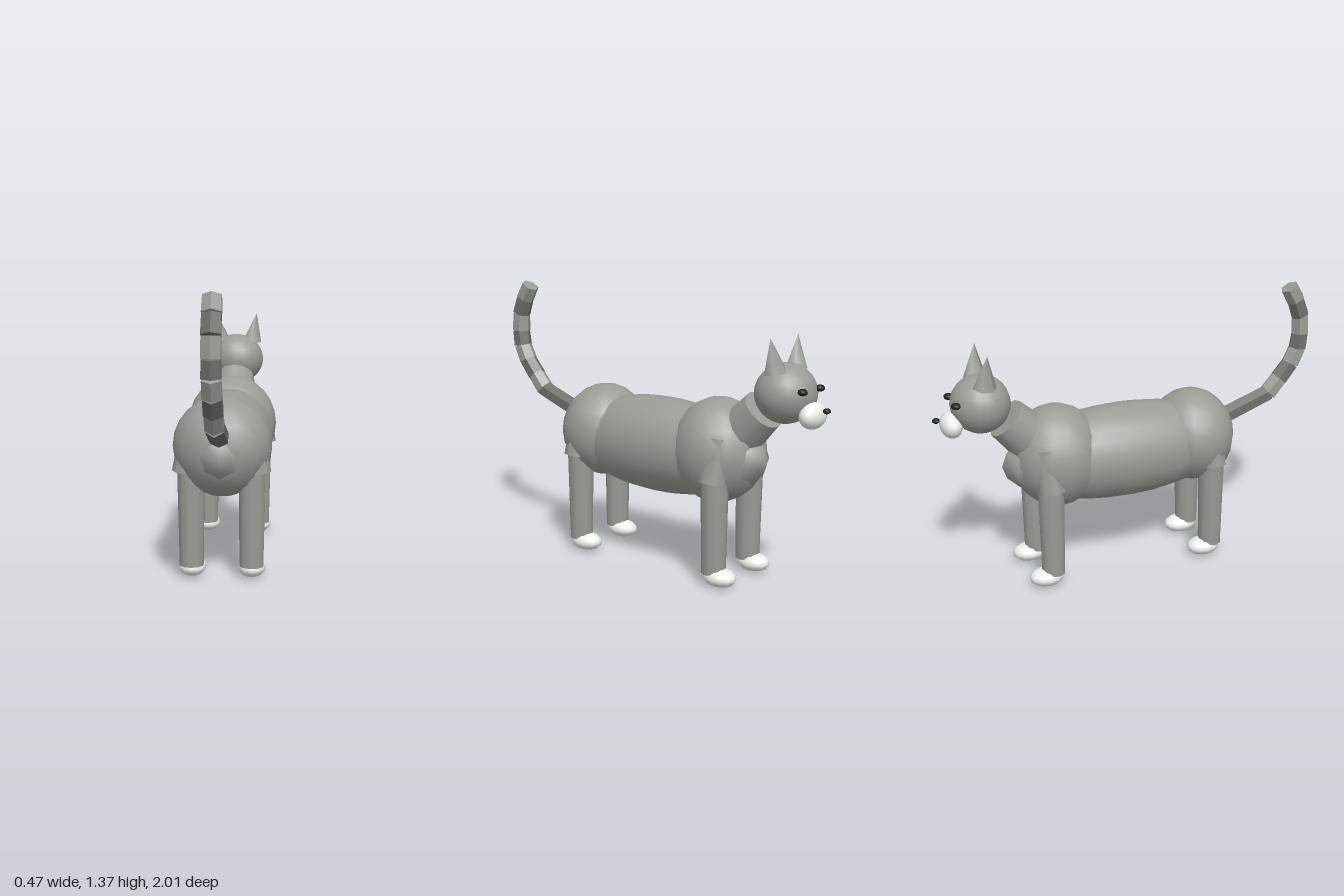
import * as THREE from 'three';

const mat = (color, flatShading = false) => new THREE.MeshStandardMaterial({ color, flatShading });
const fur = mat(0x9c9c96);
const furFlat = mat(0x9c9c96, true);
const stripe = mat(0x70706b, true);
const white = mat(0xeeeeea);
const black = mat(0x222222);

export function createModel() {
  const cat = new THREE.Group();
  cat.name = 'cat';

  const add = (name, geometry, material) => {
    const mesh = new THREE.Mesh(geometry, material);
    mesh.name = name;
    cat.add(mesh);
    return mesh;
  };

  // Ellipsoid from its centre and three radii
  const ball = (name, pos, radii, material, w = 16, h = 12) => {
    const mesh = add(name, new THREE.SphereGeometry(1, w, h), material);
    mesh.position.set(...pos);
    mesh.scale.set(...radii);
    return mesh;
  };

  // Tapered cylinder (or cone) between two points
  const limb = (name, from, to, rFrom, rTo, sides, material) => {
    const a = new THREE.Vector3(...from);
    const b = new THREE.Vector3(...to);
    const dir = b.clone().sub(a);
    const mesh = add(name, new THREE.CylinderGeometry(rTo, rFrom, dir.length(), sides), material);
    mesh.position.copy(a).add(b).multiplyScalar(0.5);
    mesh.quaternion.setFromUnitVectors(new THREE.Vector3(0, 1, 0), dir.normalize());
    return mesh;
  };

  // Trunk
  ball('torso', [0, 0.605, -0.047], [0.228, 0.24, 0.63], fur);
  ball('hips', [0, 0.63, 0.335], [0.237, 0.24, 0.217], fur);
  ball('chest', [0, 0.63, -0.4], [0.237, 0.257, 0.232], fur);

  // Neck and head
  limb('neck', [0, 0.7, -0.493], [0, 0.855, -0.648], 0.124, 0.106, 12, fur);
  ball('head', [0, 0.947, -0.768], [0.152, 0.14, 0.143], fur, 20, 14);
  ball('muzzle', [0, 0.86, -0.912], [0.087, 0.061, 0.053], white);
  ball('nose', [0, 0.89, -0.982], [0.02, 0.013, 0.018], black, 10, 8);
  for (const side of [-1, 1]) {
    limb('ear', [side * 0.09, 1.05, -0.765], [side * 0.115, 1.207, -0.752], 0.057, 0, 6, fur);
    ball('eye', [side * 0.074, 0.975, -0.9], [0.025, 0.016, 0.023], black, 10, 8);
  }

  // Legs and paws
  for (const [name, z] of [['front', -0.48], ['back', 0.383]]) {
    for (const s of [-1, 1]) {
      limb(name + 'UpperLeg', [s * 0.165, 0.508, z], [s * 0.13, 0.72, z - 0.01], 0.071, 0.065, 8, fur);
      limb(name + 'LowerLeg', [s * 0.143, 0.06, z + 0.002], [s * 0.145, 0.55, z], 0.059, 0.067, 10, fur);
      ball(name + 'Paw', [s * 0.143, 0.045, z - 0.034], [0.067, 0.045, 0.088], white, 12, 8);
    }
  }

  // Banded tail, as [y, z] joints
  const joints = [
    [0.69, 0.5], [0.79, 0.78], [0.862, 0.843], [0.94, 0.908], [1.02, 0.947],
    [1.1, 0.957], [1.195, 0.952], [1.28, 0.92], [1.35, 0.878],
  ];
  for (let i = 0; i < joints.length - 1; i++) {
    limb('tailSegment', [0, ...joints[i]], [0, ...joints[i + 1]], 0.049, 0.047, 6, i % 2 ? furFlat : stripe);
  }

  return cat;
}
